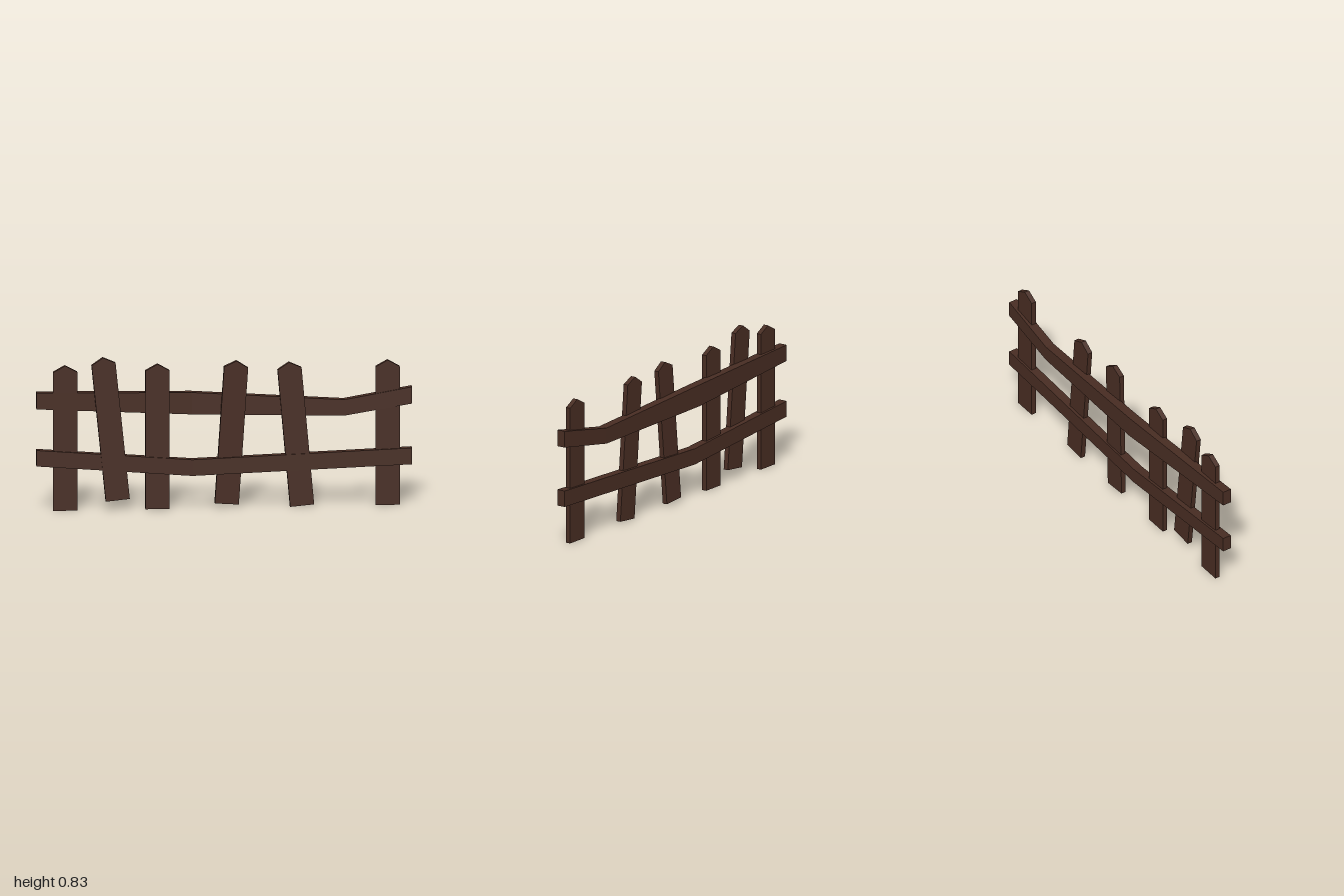
import * as THREE from 'three';

const wood = new THREE.MeshStandardMaterial({ color: 0x472c22 });
wood.name = 'dark brown wood';

// Pointed board standing from a bottom centre to a tip, each [x, y, z of its middle]
function picket(bottom, tip) {
  const a = new THREE.Vector3(...bottom), b = new THREE.Vector3(...tip);
  const h = a.distanceTo(b), w = 0.064, t = 0.027;
  const outline = new THREE.Shape([[-w, 0], [w, 0], [w, h - 0.035], [0, h], [-w, h - 0.035]]
    .map(([x, y]) => new THREE.Vector2(x, y)));
  const geo = new THREE.ExtrudeGeometry(outline, { depth: t, bevelEnabled: false });
  geo.translate(0, 0, -t / 2);
  const mesh = new THREE.Mesh(geo, wood);
  mesh.position.copy(a);
  mesh.quaternion.setFromUnitVectors(new THREE.Vector3(0, 1, 0), b.sub(a).normalize());
  mesh.name = 'picket';
  return mesh;
}

// Bent rail through rectangular sections [x, yLow, yHigh, zBack, zFront]
function rail(name, sections) {
  const geo = new THREE.BoxGeometry(1, 1, 1, sections.length - 1, 1, 1);
  const p = geo.attributes.position;
  for (let i = 0; i < p.count; i++) {
    const [x, y0, y1, z0, z1] = sections[Math.round((p.getX(i) + 0.5) * (sections.length - 1))];
    p.setXYZ(i, x, p.getY(i) > 0 ? y1 : y0, p.getZ(i) > 0 ? z1 : z0);
  }
  const flat = geo.toNonIndexed();
  flat.computeVertexNormals();
  const mesh = new THREE.Mesh(flat, wood);
  mesh.name = name;
  return mesh;
}

export function createModel() {
  const fence = new THREE.Group();
  fence.name = 'fence';

  // Upright and leaning pickets
  const boards = [
    [[-0.847, 0.003, 0.013], [-0.847, 0.785, 0.013]],
    [[-0.568, 0.057, 0.027], [-0.648, 0.828, 0.032]],
    [[-0.355, 0.003, 0.013], [-0.355, 0.785, 0.013]],
    [[0.015, 0.022, 0.002], [0.065, 0.797, 0.024]],
    [[0.415, 0.008, 0.016], [0.345, 0.783, 0.016]],
    [[0.871, 0.003, 0.013], [0.871, 0.785, 0.013]],
  ];
  for (const [bottom, tip] of boards) fence.add(picket(bottom, tip));

  // Sagging rails
  fence.add(rail('upperRail', [
    [-1, 0.555, 0.643, -0.012, 0.037],
    [-0.17, 0.507, 0.625, -0.045, 0.006],
    [0.64, 0.489, 0.575, -0.024, 0.026],
    [1, 0.55, 0.64, -0.012, 0.037],
  ]));
  fence.add(rail('lowerRail', [
    [-1, 0.247, 0.333, -0.012, 0.037],
    [-0.17, 0.18, 0.267, -0.015, 0.034],
    [1, 0.222, 0.31, -0.012, 0.037],
  ]));
  return fence;
}
